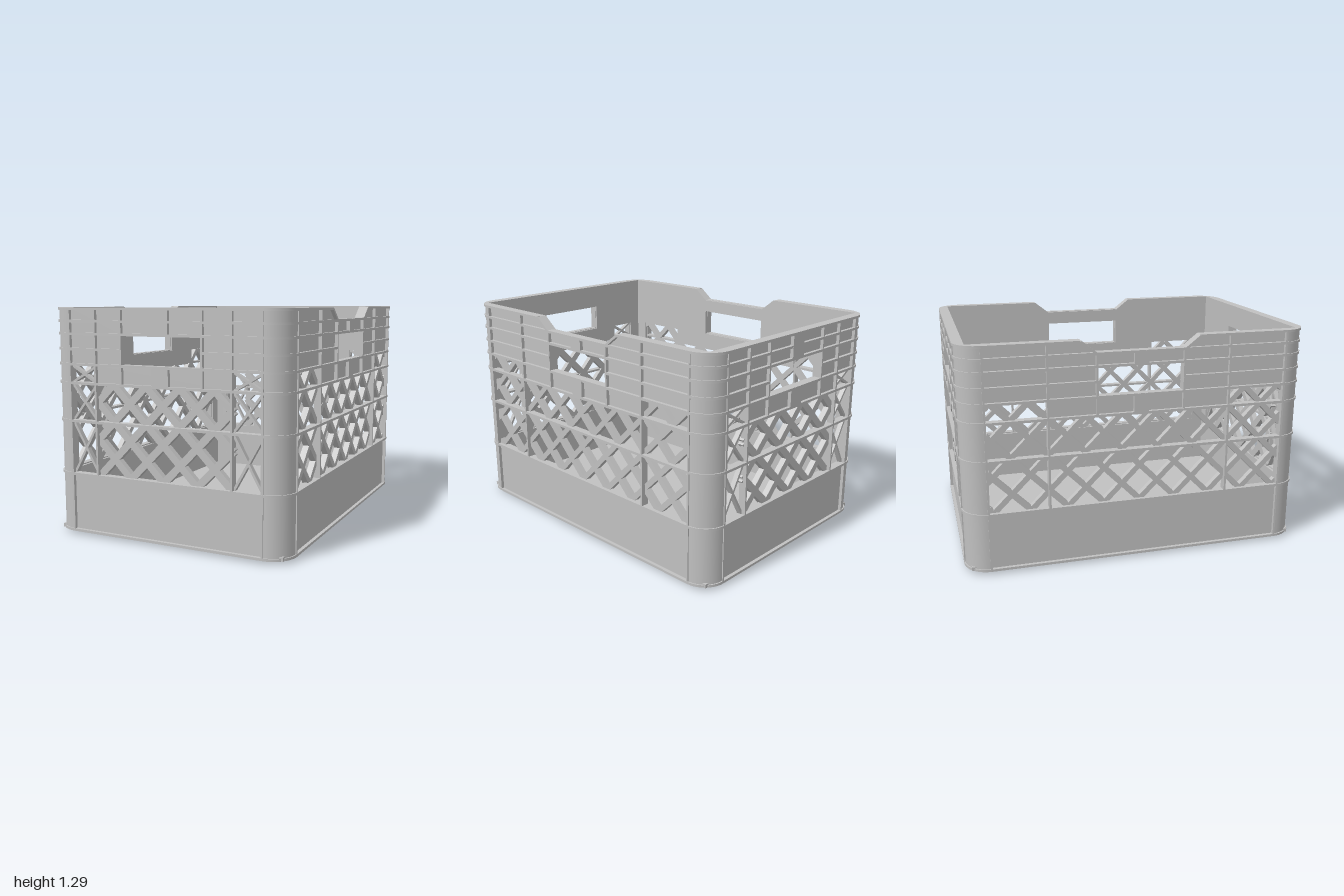
import * as THREE from 'three';
import { toCreasedNormals } from 'three/addons/utils/BufferGeometryUtils.js';

const plastic = new THREE.MeshStandardMaterial({ color: 0xc0c0c0 });
plastic.name = 'grey plastic';

const BOTTOM = 0.018, TOP = 1.295, DIP = 1.225, RIB = 0.014;
const HALF_X = 0.73, HALF_Z = 1, RADIUS = 0.14, THICK = 0.06;
const LEVELS = [0.025, 0.355, 0.66, 0.875, 0.98, 1.065, 1.15, 1.22, TOP - RIB / 2];
const HANDLE = { w: 0.245, y0: 0.98, y1: 1.148 };

function add(parent, name, geometry) {
  const mesh = new THREE.Mesh(geometry, plastic);
  mesh.name = name;
  parent.add(mesh);
  return mesh;
}

// Box in wall space; d0 and d1 are depths measured inwards from the outer face
function slab(parent, name, u0, u1, y0, y1, d0, d1) {
  const m = add(parent, name, new THREE.BoxGeometry(u1 - u0, y1 - y0, d1 - d0));
  m.position.set((u0 + u1) / 2, (y0 + y1) / 2, -(d0 + d1) / 2);
  return m;
}

// Slanted bar between two points of the wall
function bar(parent, name, a, b, width, d0, d1) {
  const len = Math.hypot(b[0] - a[0], b[1] - a[1]);
  const m = slab(parent, name, -len / 2, len / 2, -width / 2, width / 2, d0, d1);
  m.position.x = (a[0] + b[0]) / 2;
  m.position.y = (a[1] + b[1]) / 2;
  m.rotation.z = Math.atan2(b[1] - a[1], b[0] - a[0]);
}

// Diagonal lattice clipped to a rectangle, with a node at (pitch / 2, nodeY)
function lattice(parent, u0, u1, y0, y1, pitch, nodeY, width) {
  for (const s of [1, -1]) {
    for (let k = -14; k <= 14; k++) {
      const c = (k + 0.5) * pitch;
      const ends = [c + s * (y0 - nodeY), c + s * (y1 - nodeY)];
      const lo = Math.max(u0, Math.min(...ends)), hi = Math.min(u1, Math.max(...ends));
      if (hi - lo < 0.02) continue;
      const at = u => [u, nodeY + s * (u - c)];
      bar(parent, 'latticeBar', at(lo), at(hi), width, 0.022, 0.056);
    }
  }
}

function makeWall(name, o) {
  const wall = new THREE.Group();
  wall.name = name;
  const { w, s, pad, dipped } = o;

  // Panel with handle slot and lattice opening
  const outline = dipped
    ? [[-w, BOTTOM], [w, BOTTOM], [w, TOP], [0.34, TOP], [0.25, DIP], [-0.25, DIP], [-0.34, TOP], [-w, TOP]]
    : [[-w, BOTTOM], [w, BOTTOM], [w, TOP], [-w, TOP]];
  const toVec = pts => pts.map(p => new THREE.Vector2(...p));
  const shape = new THREE.Shape(toVec(outline));
  const { w: h, y0, y1 } = HANDLE;
  const yl = 0.355, ym = 0.875, yu = 0.975;
  const e = w - 0.001;
  shape.holes.push(
    new THREE.Path(toVec([[-h, y0 + 0.004], [-h, y1], [h, y1], [h, y0 + 0.004]])),
    new THREE.Path(toVec([[-e, yl], [-e, yu], [-s, yu], [-s, ym], [s, ym], [s, yu], [e, yu], [e, yl]])));
  const panel = new THREE.ExtrudeGeometry(shape, { depth: 0.04, bevelEnabled: false });
  panel.translate(0, 0, -THICK);
  add(wall, 'panel', panel);

  // Horizontal ribs, broken at the handle, the pads and the dip
  LEVELS.forEach((y, i) => {
    const last = i === LEVELS.length - 1;
    const gap = i === 5 ? h : last && dipped ? 0.34 : 0;
    const depth = last ? THICK : 0.045;
    const spans = gap ? [[-w, -gap], [gap, w]] : [[-w, w]];
    for (const [a, b] of spans) slab(wall, 'horizontalRib', a, b, y - RIB / 2, y + RIB / 2, 0, depth);
  });

  // Vertical ribs, mirrored
  for (const m of [-1, 1]) {
    const rib = (u, a, b) => slab(wall, 'verticalRib', m * u - 0.006, m * u + 0.006, a, b, 0.001, 0.045);
    rib(w, BOTTOM, TOP);
    rib(s, yl, TOP);
    rib(h + 0.004, ym, dipped ? DIP : TOP);
    if (dipped) bar(wall, 'dipEdge', [m * 0.34, TOP - 0.007], [m * 0.25, DIP - 0.007], RIB, 0, THICK);
  }

  // Centre pads below and above the handle
  slab(wall, 'lowerPad', -pad, pad, ym - 0.005, 0.985, -0.0005, 0.04);
  slab(wall, 'upperPad', -pad, pad, y1 - 0.004, dipped ? DIP : TOP, -0.0005, 0.04);

  // Lattice
  if (dipped) {
    lattice(wall, -s, s, yl, ym, 0.208, ym, 0.032);
    lattice(wall, s, w, yl, yu, 0.208, ym, 0.032);
    lattice(wall, -w, -s, yl, yu, 0.208, ym, 0.032);
  } else {
    lattice(wall, -s, s, yl, ym, 0.208, ym, 0.042);
    const rows = [yl, 0.66, ym, yu];
    for (const m of [-1, 1]) for (let i = 0; i < 3; i++) {
      bar(wall, 'crossBar', [m * s, rows[i]], [m * w, rows[i + 1]], 0.014, 0.022, 0.05);
      bar(wall, 'crossBar', [m * w, rows[i]], [m * s, rows[i + 1]], 0.014, 0.022, 0.05);
    }
  }
  return wall;
}

// Rounded corner section, extruded upwards
function cornerGeometry(m, inset, y0, y1) {
  const cx = HALF_X - RADIUS, cz = HALF_Z - RADIUS, ix = HALF_X - THICK, iz = HALF_Z - THICK;
  const pts = [[cx, iz], [ix, iz], [ix, cz]];
  for (let i = 0; i <= 10; i++) {
    const a = (i / 10) * Math.PI / 2, r = RADIUS - inset;
    pts.push([cx + r * Math.cos(a), cz + r * Math.sin(a)]);
  }
  const shape = new THREE.Shape(pts.map(([x, z]) => new THREE.Vector2(m * x, z)));
  const g = new THREE.ExtrudeGeometry(shape, { depth: y1 - y0, bevelEnabled: false });
  g.rotateX(-Math.PI / 2);
  g.translate(0, y0, 0);
  return toCreasedNormals(g, 0.6);
}

export function createModel() {
  const crate = new THREE.Group();
  crate.name = 'crate';

  // Walls
  const ends = { w: 0.59, s: 0.418, pad: 0.05, dipped: false };
  const sides = { w: 0.86, s: 0.52, pad: 0.042, dipped: true };
  [['frontWall', ends, 0], ['leftWall', sides, 1], ['backWall', ends, 2], ['rightWall', sides, 3]]
    .forEach(([name, options, turn]) => {
      const wall = makeWall(name, options);
      const a = turn * Math.PI / 2, d = turn % 2 ? HALF_X : HALF_Z;
      wall.rotation.y = a;
      wall.position.set(Math.sin(a) * d, 0, Math.cos(a) * d);
      crate.add(wall);
    });

  // Corner posts with rib bands
  for (const turn of [0, Math.PI]) for (const m of [-1, 1]) {
    const corner = new THREE.Group();
    corner.name = 'corner';
    corner.rotation.y = turn;
    add(corner, 'cornerPost', cornerGeometry(m, 0.007, BOTTOM, TOP - 0.001));
    for (const y of LEVELS) add(corner, 'cornerRib', cornerGeometry(m, 0, y - RIB / 2, y + RIB / 2));
    crate.add(corner);
  }

  // Floor and the stacking foot below it
  add(crate, 'floor', new THREE.BoxGeometry(1.39, 0.022, 1.93)).position.y = 0.03;
  add(crate, 'foot', new THREE.BoxGeometry(1.33, 0.02, 1.85)).position.y = 0.01;
  return crate;
}
